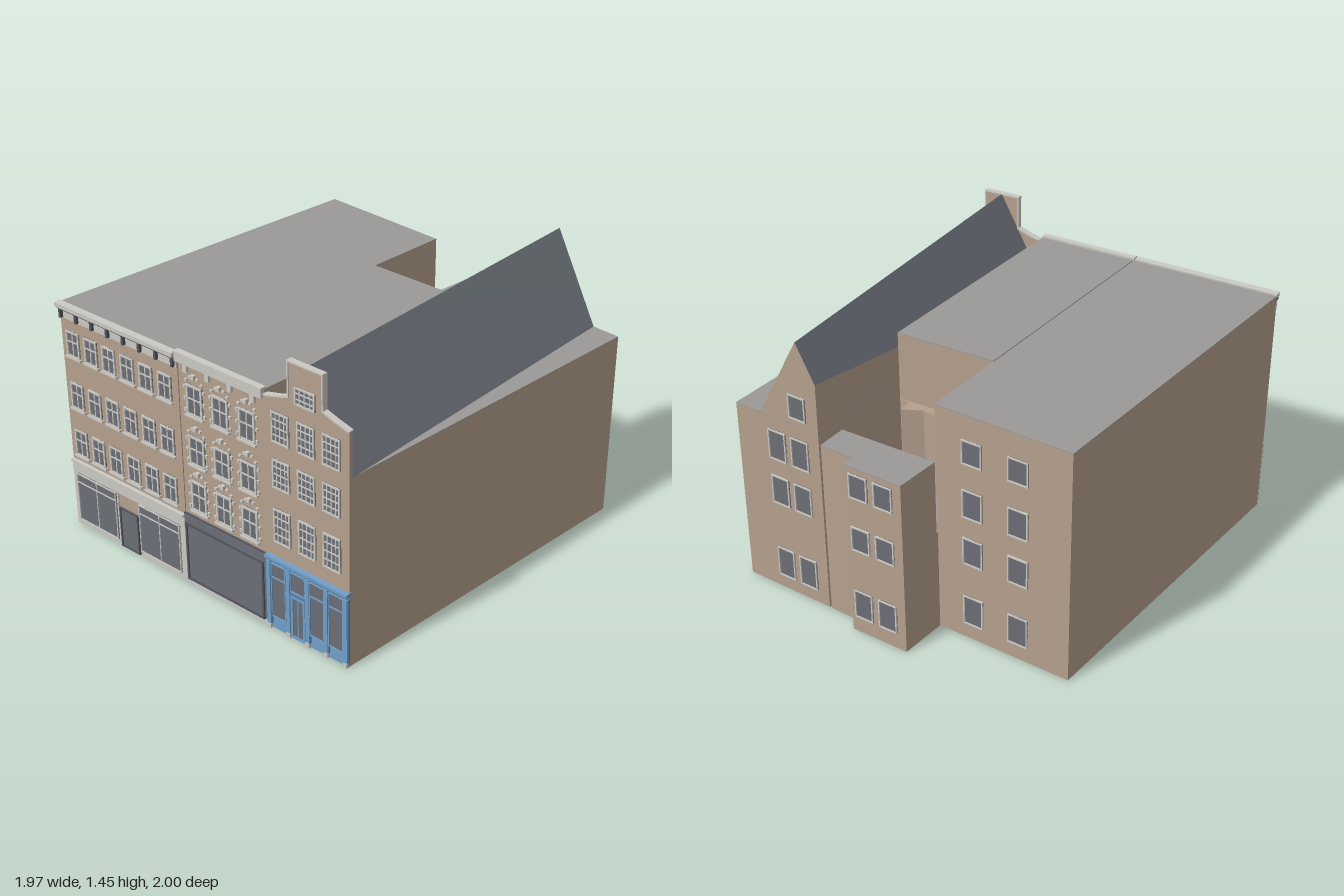
import * as THREE from 'three';

const mat = (name, color, side = THREE.FrontSide) => {
  const m = new THREE.MeshStandardMaterial({ color, side });
  m.name = name;
  return m;
};

export function createModel() {
  const root = new THREE.Group();
  root.name = 'terraceOfTownhouses';
  const brick = mat('brick', 0xb5a08d, THREE.DoubleSide);
  const roofGrey = mat('flatRoof', 0x9a9997);
  const slate = mat('slate', 0x6f757d, THREE.DoubleSide);
  const cream = mat('creamTrim', 0xcbc9c3);
  const glass = mat('glass', 0x6c6e76);
  const dark = mat('darkFrame', 0x54555e);
  const blue = mat('bluePaint', 0x719fc9);
  const blueDark = mat('deepBluePaint', 0x527fa8);

  const group = (name, parent = root) => {
    const g = new THREE.Group();
    g.name = name;
    parent.add(g);
    return g;
  };
  const add = (parent, name, geo, m) => {
    const mesh = new THREE.Mesh(geo, m);
    mesh.name = name;
    parent.add(mesh);
    return mesh;
  };
  // box given by its x range, y range and z range
  const box = (parent, name, m, x0, x1, y0, y1, z0, z1) => {
    const b = add(parent, name, new THREE.BoxGeometry(x1 - x0, y1 - y0, z1 - z0), m);
    b.position.set((x0 + x1) / 2, (y0 + y1) / 2, (z0 + z1) / 2);
    return b;
  };
  // upright prism over an [x, z] footprint
  const prism = (parent, name, m, plan, y0, y1) => {
    const s = new THREE.Shape(plan.map(([x, z]) => new THREE.Vector2(x, -z)));
    const geo = new THREE.ExtrudeGeometry(s, { depth: y1 - y0, bevelEnabled: false });
    geo.rotateX(-Math.PI / 2);
    geo.translate(0, y0, 0);
    return add(parent, name, geo, m);
  };
  const block = (name, plan, h) => {
    const g = group(name);
    prism(g, 'walls', brick, plan, 0, h - 0.004);
    prism(g, 'flatRoof', roofGrey, plan, h - 0.004, h);
    return g;
  };
  // flat polygon from [x, y, z] corners
  const face = (parent, name, m, pts) => {
    const geo = new THREE.BufferGeometry();
    geo.setAttribute('position', new THREE.Float32BufferAttribute(pts.flat(), 3));
    const idx = [];
    for (let i = 1; i < pts.length - 1; i++) idx.push(0, i, i + 1);
    geo.setIndex(idx);
    geo.computeVertexNormals();
    return add(parent, name, geo, m);
  };
  // pane with a surround, upright bars and cross bars (as fractions)
  const windowAt = (parent, x, y, z, w, h, o = {}) => {
    const { cols = [0.5], rows = [0.5], frame = cream, edge = 0.009, bar = 0.006, turn = 0, sill = false } = o;
    const g = group('window', parent);
    g.position.set(x, y, z);
    g.rotation.y = turn;
    const a = w / 2, b = h / 2;
    box(g, 'pane', glass, -a, a, -b, b, 0, 0.004);
    for (const s of [-1, 1]) {
      box(g, 'jamb', frame, s * (a - edge / 2) - edge / 2, s * (a - edge / 2) + edge / 2, -b, b, 0, 0.01);
      box(g, 'rail', frame, -a, a, s * (b - edge / 2) - edge / 2, s * (b - edge / 2) + edge / 2, 0, 0.0095);
    }
    for (const c of cols) box(g, 'upright', frame, -a + c * w - bar / 2, -a + c * w + bar / 2, -b, b, 0, 0.008);
    for (const r of rows) box(g, 'crossBar', frame, -a, a, -b + r * h - bar / 2, -b + r * h + bar / 2, 0, 0.0085);
    if (sill) box(g, 'sill', cream, -a - 0.008, a + 0.008, -b - 0.008, -b + 0.002, 0, 0.016);
    return g;
  };
  // windows on a slanting rear wall from a to b
  const rearWindows = (parent, [ax, az], [bx, bz], list) => {
    const turn = Math.atan2(-(bz - az), bx - ax);
    for (const [x, y, w, h] of list) {
      const z = az + ((x - ax) / (bx - ax)) * (bz - az);
      windowAt(parent, x, y, z, w, h, { cols: [], rows: [], edge: 0.007, turn });
    }
  };

  // ---- Left townhouse ----
  const left = block('leftTownhouse',
    [[-0.985, 0.96], [-0.2, 0.96], [-0.06, -0.75], [-0.785, -0.8]], 1.25);
  for (let i = 0; i < 6; i++)
    for (const [y, h] of [[1.045, 0.137], [0.76, 0.143], [0.492, 0.148]])
      windowAt(left, -0.906 + i * 0.124, y, 0.96, 0.086, h, { rows: [0.6], sill: true });
  box(left, 'frieze', cream, -0.985, -0.2, 1.175, 1.225, 0.955, 0.968);
  box(left, 'corniceBed', dark, -0.985, -0.2, 1.222, 1.236, 0.955, 0.98);
  box(left, 'cornice', cream, -0.985, -0.2, 1.236, 1.258, 0.955, 0.993);
  for (let i = 0; i < 8; i++) {
    const x = -0.963 + i * 0.107;
    box(left, 'bracket', dark, x - 0.007, x + 0.007, 1.18, 1.226, 0.96, 0.984);
  }
  // cream shopfront with two wide windows and a door
  box(left, 'shopFascia', cream, -0.985, -0.2, 0.312, 0.372, 0.955, 0.97);
  box(left, 'shopCornice', cream, -0.985, -0.2, 0.372, 0.384, 0.955, 0.98);
  for (const [x0, x1] of [[-0.985, -0.665], [-0.515, -0.2]])
    box(left, 'shopSurround', cream, x0, x1, 0, 0.312, 0.955, 0.968);
  for (const x of [-0.815, -0.373])
    windowAt(left, x, 0.172, 0.968, 0.28, 0.275, { rows: [0.82], cols: [0.5], edge: 0.005, bar: 0.005 });
  windowAt(left, -0.597, 0.115, 0.96, 0.13, 0.23, { cols: [], rows: [], frame: dark, edge: 0.008 });
  rearWindows(left, [-0.06, -0.75], [-0.785, -0.8],
    [-0.26, -0.508].flatMap(x => [[x, 1.055, 0.11, 0.13], [x, 0.775, 0.11, 0.155], [x, 0.51, 0.11, 0.15], [x, 0.168, 0.11, 0.165]]));

  // ---- Middle townhouse ----
  const mid = block('middleTownhouse', [[-0.2, 0.955], [0.33, 0.955], [0.43, -0.295], [-0.1, -0.3]], 1.255);
  for (const x of [-0.1, 0.06, 0.223])
    for (const [y, h] of [[1.033, 0.16], [0.765, 0.155], [0.515, 0.165]]) {
      windowAt(mid, x, y, 0.955, 0.098, h, { rows: [0.55], edge: 0.011, sill: true });
      for (const s of [-1, 1])
        for (const f of [-0.38, 0, 0.38]) {
          const c = x + s * 0.06;
          box(mid, 'quoin', cream, c - 0.006, c + 0.006, y + f * h - 0.008, y + f * h + 0.008, 0.95, 0.964);
        }
      // segmental arch of short stones with a keystone
      for (let i = -2; i <= 2; i++) {
        const cy = y + h / 2 + 0.046 - i * i * 0.007, cx = x + i * 0.024;
        const hw = i ? 0.007 : 0.01, hh = i ? 0.005 : 0.011;
        box(mid, i ? 'archStone' : 'keystone', cream, cx - hw, cx + hw, cy - hh, cy + hh, 0.95, i ? 0.965 : 0.972);
      }
    }
  box(mid, 'cornice', cream, -0.205, 0.33, 1.215, 1.266, 0.945, 0.978);
  for (const x of [-0.145, -0.008, 0.129, 0.266])
    box(mid, 'corniceBracket', cream, x - 0.013, x + 0.013, 1.17, 1.216, 0.95, 0.97);
  box(mid, 'shopPlinth', cream, -0.2, 0.33, 0, 0.024, 0.95, 0.972);
  box(mid, 'shopFrame', dark, -0.205, 0.33, 0.024, 0.396, 0.95, 0.964);
  box(mid, 'shopFrontPanel', glass, -0.2, 0.325, 0.026, 0.39, 0.96, 0.967);
  windowAt(mid, 0.06, 0.186, 0.966, 0.5, 0.325, { cols: [], rows: [], frame: dark, edge: 0.011 });

  // ---- Low rear wing and yard ----
  prism(root, 'yard', roofGrey, [[-0.1, -0.29], [0.43, -0.29], [0.46, -0.74], [-0.06, -0.76]], 0.53, 0.55);
  prism(root, 'yardBase', brick, [[-0.1, -0.29], [0.43, -0.29], [0.46, -0.74], [-0.06, -0.76]], 0, 0.53);
  prism(root, 'yardBay', brick,
    [[0.165, -0.29], [0.43, -0.295], [0.37, -0.31], [0.37, -0.38], [0.27, -0.335], [0.15, -0.36]], 0.55, 0.89);
  const wing = block('rearWing',
    [[-0.06, -0.76], [0.46, -0.74], [0.47, -0.9], [0.285, -0.92], [0.285, -0.98], [-0.03, -1]], 0.945);
  rearWindows(wing, [0.285, -0.98], [-0.03, -1],
    [0.21, 0.07].flatMap(x => [[x, 0.845, 0.105, 0.135], [x, 0.55, 0.105, 0.135], [x, 0.17, 0.105, 0.16]]));

  // ---- Right townhouse ----
  const right = block('rightTownhouse', [[0.33, 0.95], [0.815, 0.95], [0.98, -0.86], [0.48, -0.9]], 1.0);
  const A = [0.33, 1.0, 0.945], B = [0.575, 1.45, 0.945], C = [0.818, 1.0, 0.945];
  const D = [0.48, 1.26, -0.9], E = [0.583, 1.45, -0.892], F = [0.83, 1.0, -0.872], G = [0.48, 1.0, -0.9];
  face(right, 'leftRoofSlope', slate, [A, B, E, D]);
  face(right, 'rightRoofSlope', slate, [B, C, F, E]);
  face(right, 'rearGable', brick, [F, G, D, E]);
  face(right, 'sideWall', brick, [A, D, G]);
  // stepped street gable
  const outline = [[0.33, 0], [0.815, 0], [0.815, 1.232], [0.74, 1.252], [0.671, 1.275], [0.671, 1.45],
    [0.476, 1.45], [0.476, 1.275], [0.41, 1.252], [0.33, 1.232]];
  const gable = add(right, 'streetGable', new THREE.ExtrudeGeometry(
    new THREE.Shape(outline.map(p => new THREE.Vector2(...p))), { depth: 0.018, bevelEnabled: false }), brick);
  gable.position.z = 0.942;
  // coping follows the gable top
  for (let i = 2; i < outline.length - 1; i++) {
    const [x0, y0] = outline[i], [x1, y1] = outline[i + 1];
    const c = add(right, 'coping', new THREE.BoxGeometry(Math.hypot(x1 - x0, y1 - y0) + 0.006, 0.008, 0.03), cream);
    c.position.set((x0 + x1) / 2, (y0 + y1) / 2, 0.952);
    c.rotation.z = Math.atan2(y1 - y0, x1 - x0);
  }
  const grid = { cols: [0.25, 0.5, 0.75], rows: [0.25, 0.5, 0.75], bar: 0.005, edge: 0.008 };
  for (const x of [0.426, 0.574, 0.718])
    for (const [y, h] of [[1.095, 0.155], [0.855, 0.15], [0.58, 0.18]])
      windowAt(right, x, y, 0.96, 0.1, h, grid);
  windowAt(right, 0.572, 1.297, 0.96, 0.115, 0.087, { ...grid, rows: [0.33, 0.67] });
  // blue shopfront
  box(right, 'shopFront', blue, 0.33, 0.815, 0, 0.4, 0.945, 0.966);
  box(right, 'shopCornice', blue, 0.328, 0.818, 0.392, 0.408, 0.945, 0.985);
  box(right, 'fasciaLine', blueDark, 0.335, 0.81, 0.374, 0.381, 0.96, 0.972);
  for (const x of [0.342, 0.461, 0.578, 0.688, 0.803]) {
    box(right, 'pilaster', blue, x - 0.011, x + 0.011, 0.025, 0.375, 0.96, 0.978);
    box(right, 'pilasterFoot', cream, x - 0.012, x + 0.012, 0, 0.025, 0.96, 0.98);
    box(right, 'pilasterEdge', blueDark, x + 0.011, x + 0.015, 0.025, 0.375, 0.96, 0.972);
  }
  for (const x of [0.402, 0.634, 0.746])
    windowAt(right, x, 0.22, 0.966, 0.088, 0.3, { cols: [], rows: [0.74], frame: blue, edge: 0.005 });
  windowAt(right, 0.52, 0.317, 0.966, 0.09, 0.11, { cols: [], rows: [], frame: blue, edge: 0.005 });
  windowAt(right, 0.52, 0.125, 0.966, 0.085, 0.235, { cols: [0.5], rows: [], frame: blue, edge: 0.012 });
  box(right, 'doorHead', blueDark, 0.472, 0.568, 0.246, 0.256, 0.96, 0.976);
  rearWindows(right, [0.98, -0.86], [0.48, -0.9], [
    ...[0.735, 0.597].flatMap(x => [[x, 0.845, 0.105, 0.165], [x, 0.588, 0.105, 0.16], [x, 0.16, 0.105, 0.17]]),
    [0.597, 1.1, 0.1, 0.13]]);

  return root;
}
